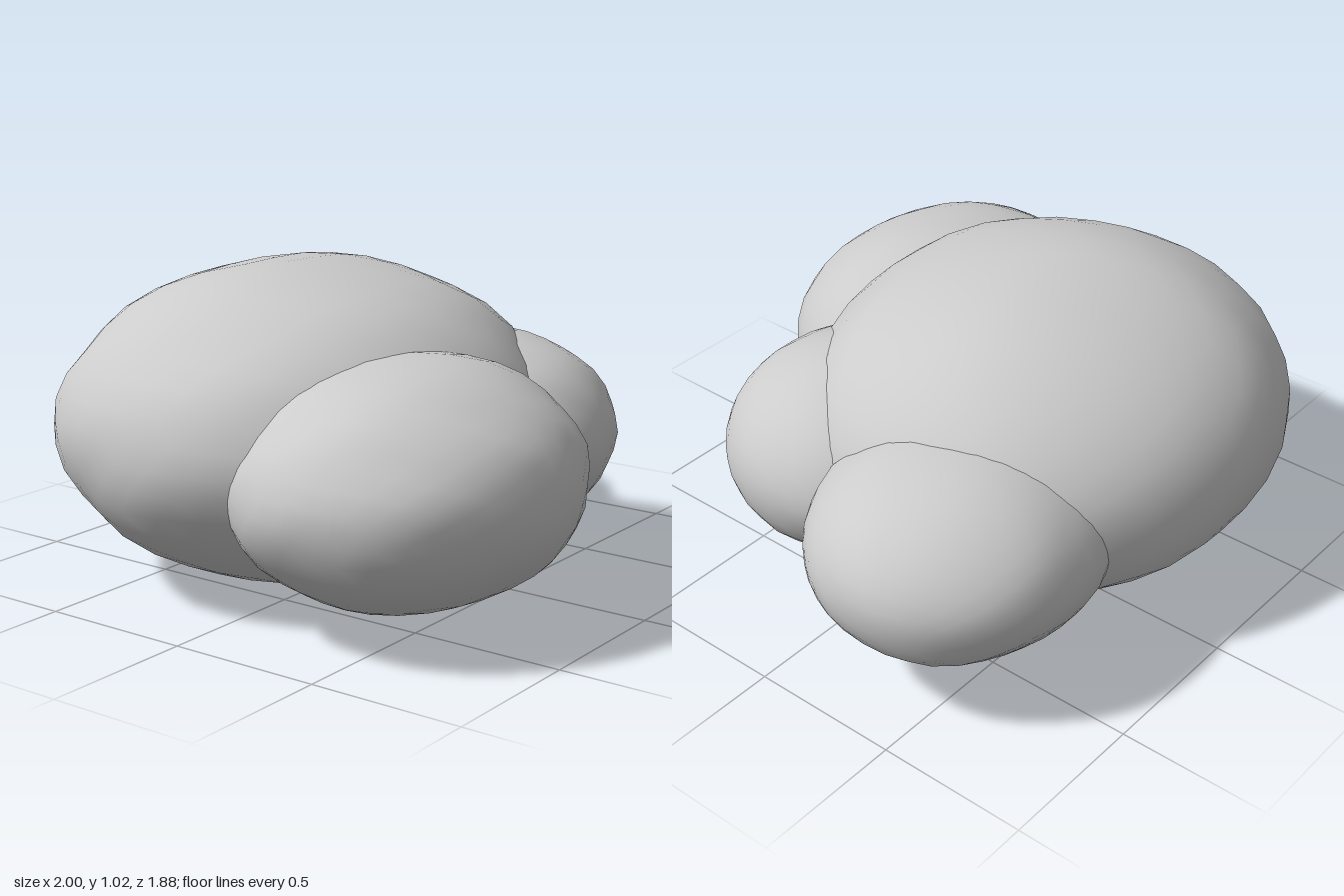
import * as THREE from 'three';
import { mergeVertices } from 'three/addons/utils/BufferGeometryUtils.js';

// Name, centre, radii and phase of the surface ripple for each puff
const PUFFS = [
  ['mainPuff', [-0.165, 0.51, -0.18], [0.83, 0.51, 0.765], 0.4],
  ['frontRightPuff', [-0.415, 0.445, 0.41], [0.585, 0.38, 0.53], 1.7],
  ['frontLeftPuff', [0.28, 0.43, 0.22], [0.46, 0.33, 0.44], 3.1],
  ['backLeftPuff', [0.5, 0.45, -0.37], [0.5, 0.32, 0.45], 4.6],
];

// Gentle lumps, as a fraction of the radius
function ripple(v, phase) {
  return 0.006 * Math.sin(7 * v.x + 4 * v.y + phase)
    + 0.006 * Math.sin(8 * v.z - 5 * v.y + 2 * phase)
    + 0.006 * Math.sin(9 * v.y + 10 * v.x - 7 * v.z + 3 * phase);
}

// Smooth ellipsoid with a slightly uneven surface
function puffGeometry(radii, phase) {
  let geometry = new THREE.IcosahedronGeometry(1, 6);
  geometry.deleteAttribute('uv');
  geometry.deleteAttribute('normal');
  geometry = mergeVertices(geometry);
  const position = geometry.attributes.position;
  const scale = new THREE.Vector3(...radii);
  const v = new THREE.Vector3();
  for (let i = 0; i < position.count; i++) {
    v.fromBufferAttribute(position, i);
    v.multiplyScalar(1 + ripple(v, phase)).multiply(scale);
    position.setXYZ(i, v.x, v.y, v.z);
  }
  geometry.computeVertexNormals();
  return geometry;
}

export function createModel() {
  const cloud = new THREE.Group();
  cloud.name = 'cloud';
  const material = new THREE.MeshStandardMaterial({ color: 0xcccccc });
  for (const [name, centre, radii, phase] of PUFFS) {
    const puff = new THREE.Mesh(puffGeometry(radii, phase), material);
    puff.name = name;
    puff.position.set(...centre);
    cloud.add(puff);
  }
  return cloud;
}
